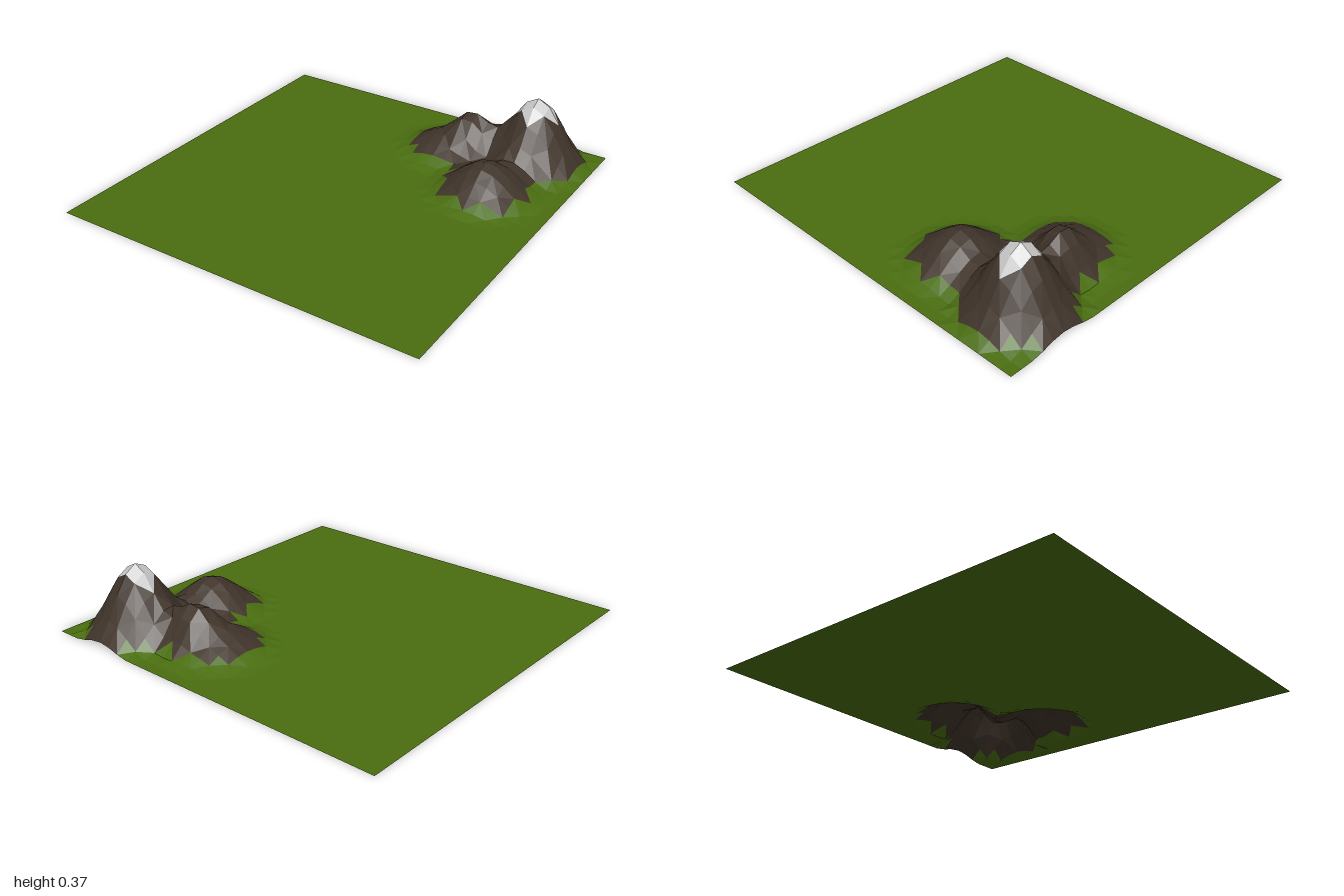
import * as THREE from 'three';

const CELLS = 32;
const STEP = 2 / CELLS;

// Each hill: centre x, centre z, height, radius
const HILLS = [
  [0.6875, -0.745, 0.372, 0.32], // main peak
  [0.25, -0.625, 0.125, 0.32], // side shoulder
  [0.375, -0.6875, 0.15, 0.2], // side summit
  [0.625, -0.3125, 0.175, 0.32], // front hill
];

// Sum of cosine-shaped hills
function heightAt(x, z) {
  let y = 0;
  for (const [cx, cz, h, radius] of HILLS) {
    const r = Math.hypot(x - cx, z - cz);
    if (r < radius) y += h * 0.5 * (1 + Math.cos(Math.PI * r / radius));
  }
  return y;
}

function gridPoint(i, j) {
  const x = -1 + i * STEP;
  const z = -1 + j * STEP;
  return [x, heightAt(x, z), z];
}

export function createModel() {
  const group = new THREE.Group();
  group.name = 'landscape';

  // Ground cover chosen by the mean height of each triangle
  const bands = [
    { name: 'snowCap', from: 0.2945, color: 0xcccccc, points: [] },
    { name: 'mountainRock', from: 0.036, color: 0x40342a, points: [] },
    { name: 'grass', from: -1, color: 0x4a6e10, points: [] },
  ];
  const addTriangle = (a, b, c) => {
    const mean = (a[1] + b[1] + c[1]) / 3;
    bands.find((band) => mean > band.from).points.push(...a, ...b, ...c);
  };

  // Grid with diagonals alternating from cell to cell
  for (let i = 0; i < CELLS; i++) {
    for (let j = 0; j < CELLS; j++) {
      const a = gridPoint(i, j);
      const b = gridPoint(i, j + 1);
      const c = gridPoint(i + 1, j + 1);
      const d = gridPoint(i + 1, j);
      if ((i + j) % 2) {
        addTriangle(a, b, c);
        addTriangle(a, c, d);
      } else {
        addTriangle(a, b, d);
        addTriangle(b, c, d);
      }
    }
  }

  for (const { name, color, points } of bands) {
    const geometry = new THREE.BufferGeometry();
    geometry.setAttribute('position', new THREE.Float32BufferAttribute(points, 3));
    geometry.computeVertexNormals();
    const material = new THREE.MeshStandardMaterial({ color, flatShading: true, side: THREE.DoubleSide });
    const mesh = new THREE.Mesh(geometry, material);
    mesh.name = name;
    group.add(mesh);
  }
  return group;
}
